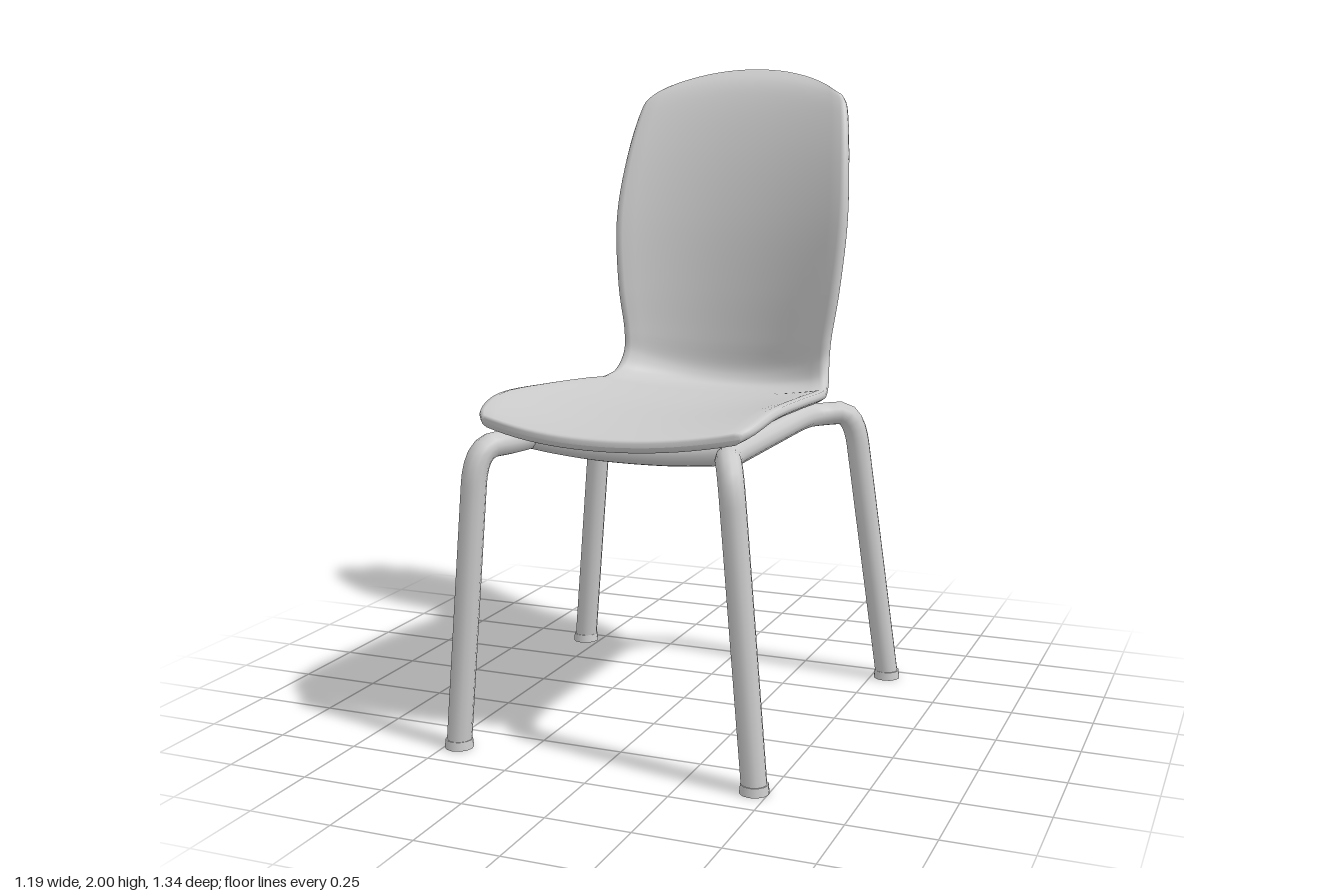
import * as THREE from 'three';

const material = new THREE.MeshStandardMaterial({ color: 0xcccccc, side: THREE.DoubleSide });
const V = (x, y, z) => new THREE.Vector3(x, y, z);

function addMesh(parent, name, geometry) {
  const mesh = new THREE.Mesh(geometry, material);
  mesh.name = name;
  parent.add(mesh);
  return mesh;
}

// Stations from seat lip to top of back: centre z, y; edge z, y; half width
const stations = [
  [0.655, 0.937, 0.585, 0.972, 0.395],
  [0.59, 0.95, 0.545, 0.988, 0.42],
  [0.43, 0.963, 0.42, 1.012, 0.438],
  [0.1, 0.953, 0.1, 1.0, 0.425],
  [-0.15, 0.945, -0.13, 0.983, 0.408],
  [-0.32, 0.935, -0.24, 0.977, 0.388],
  [-0.42, 0.943, -0.315, 1.005, 0.368],
  [-0.457, 0.99, -0.352, 1.06, 0.357],
  [-0.462, 1.1, -0.362, 1.13, 0.36],
  [-0.467, 1.27, -0.367, 1.27, 0.382],
  [-0.485, 1.5, -0.395, 1.5, 0.4],
  [-0.525, 1.72, -0.452, 1.7, 0.387],
  [-0.575, 1.88, -0.51, 1.84, 0.366],
  [-0.61, 1.945, -0.535, 1.885, 0.352],
  [-0.657, 1.987, -0.555, 1.912, 0.328],
];

// One-piece shell: a dished mid-surface thickened along its normals
function shellGeometry() {
  const centre = new THREE.CatmullRomCurve3(stations.map(s => V(0, s[1], s[0])), false, 'centripetal');
  const edge = new THREE.CatmullRomCurve3(stations.map(s => V(s[4], s[3], s[2])), false, 'centripetal');
  const surface = (u, v) => {
    const c = centre.getPoint(v), e = edge.getPoint(v);
    const k = Math.pow(Math.abs(u), 2.1);
    return V(u * e.x, c.y + (e.y - c.y) * k, c.z + (e.z - c.z) * k);
  };
  const half = 0.018, rows = 84, columns = 20, d = 0.004;

  // Closed section with rounded rims: [u, share of the half thickness]
  const upper = [[-1, 0], [-0.99, 0.65]];
  for (let i = 0; i <= columns; i++) upper.push([0.955 * (2 * i / columns - 1), 1]);
  upper.push([0.99, 0.65], [1, 0]);
  const section = [...upper, ...upper.slice(1, -1).reverse().map(([u, t]) => [u, -t])];

  // Rows thin out to nothing at both ends
  const levels = [[0, 0], [0.002, 0.65], [0.008, 1]];
  for (let j = 1; j < rows; j++) levels.push([0.008 + 0.984 * j / rows, 1]);
  levels.push([0.992, 1], [0.998, 0.65], [1, 0]);

  const positions = [], indices = [], n = section.length;
  for (const [v, taper] of levels) {
    for (const [u, t] of section) {
      const v0 = Math.max(0, v - d), v1 = Math.min(1, v + d);
      const across = surface(Math.min(1, u + 0.01), v).sub(surface(Math.max(-1, u - 0.01), v));
      const along = surface(u, v1).sub(surface(u, v0));
      const normal = across.cross(along).normalize();
      const p = surface(u, v).addScaledVector(normal, half * t * taper);
      positions.push(p.x, p.y, p.z);
    }
  }
  for (let j = 0; j < levels.length - 1; j++) {
    for (let i = 0; i < n; i++) {
      const a = j * n + i, b = j * n + (i + 1) % n;
      indices.push(a, b, b + n, a, b + n, a + n);
    }
  }
  const geometry = new THREE.BufferGeometry();
  geometry.setAttribute('position', new THREE.Float32BufferAttribute(positions, 3));
  geometry.setIndex(indices);
  geometry.computeVertexNormals();
  return geometry;
}

// Straight runs joined by rounded bends
function bentPath(points, bend) {
  const path = new THREE.CurvePath();
  let start = points[0];
  for (let i = 1; i < points.length - 1; i++) {
    const p = points[i];
    const before = points[i - 1].clone().sub(p), after = points[i + 1].clone().sub(p);
    const a = p.clone().addScaledVector(before.clone().normalize(), Math.min(bend, before.length() * 0.48));
    const b = p.clone().addScaledVector(after.clone().normalize(), Math.min(bend, after.length() * 0.48));
    path.add(new THREE.LineCurve3(start, a));
    path.add(new THREE.QuadraticBezierCurve3(a, p, b));
    start = b;
  }
  path.add(new THREE.LineCurve3(start, points[points.length - 1]));
  return path;
}

export function createModel() {
  const chair = new THREE.Group();
  chair.name = 'chair';
  addMesh(chair, 'seatShell', shellGeometry());

  // Each side: front leg, rail and rear leg in one bent tube
  for (const [side, s] of [['left', 1], ['right', -1]]) {
    const frame = new THREE.Group();
    frame.name = side + 'Frame';
    chair.add(frame);
    const points = [
      V(0.46, 0.012, 0.635), V(0.385, 0.905, 0.635), V(0.325, 0.903, 0.5),
      V(0.315, 0.896, -0.24), V(0.35, 0.894, -0.31), V(0.445, 0.9, -0.362), V(0.55, 0.012, -0.44),
    ].map(p => V(p.x * s, p.y, p.z));
    addMesh(frame, side + 'LegsAndRail', new THREE.TubeGeometry(bentPath(points, 0.11), 110, 0.037, 12));

    // Foot caps
    for (const [end, p] of [['Front', points[0]], ['Rear', points[6]]]) {
      const foot = addMesh(frame, side + end + 'Foot', new THREE.CylinderGeometry(0.04, 0.043, 0.026, 12));
      foot.position.set(p.x, 0.013, p.z);
    }
  }

  // Crossbars sagging under the dished seat
  for (const [name, z, y] of [['frontCrossbar', 0.41, 0.88], ['rearCrossbar', -0.19, 0.862]]) {
    const curve = new THREE.CatmullRomCurve3([
      V(-0.32, 0.9, z), V(-0.24, 0.89, z), V(-0.1, y, z), V(0.1, y, z), V(0.24, 0.89, z), V(0.32, 0.9, z),
    ]);
    addMesh(chair, name, new THREE.TubeGeometry(curve, 32, 0.037, 12));
  }
  return chair;
}
